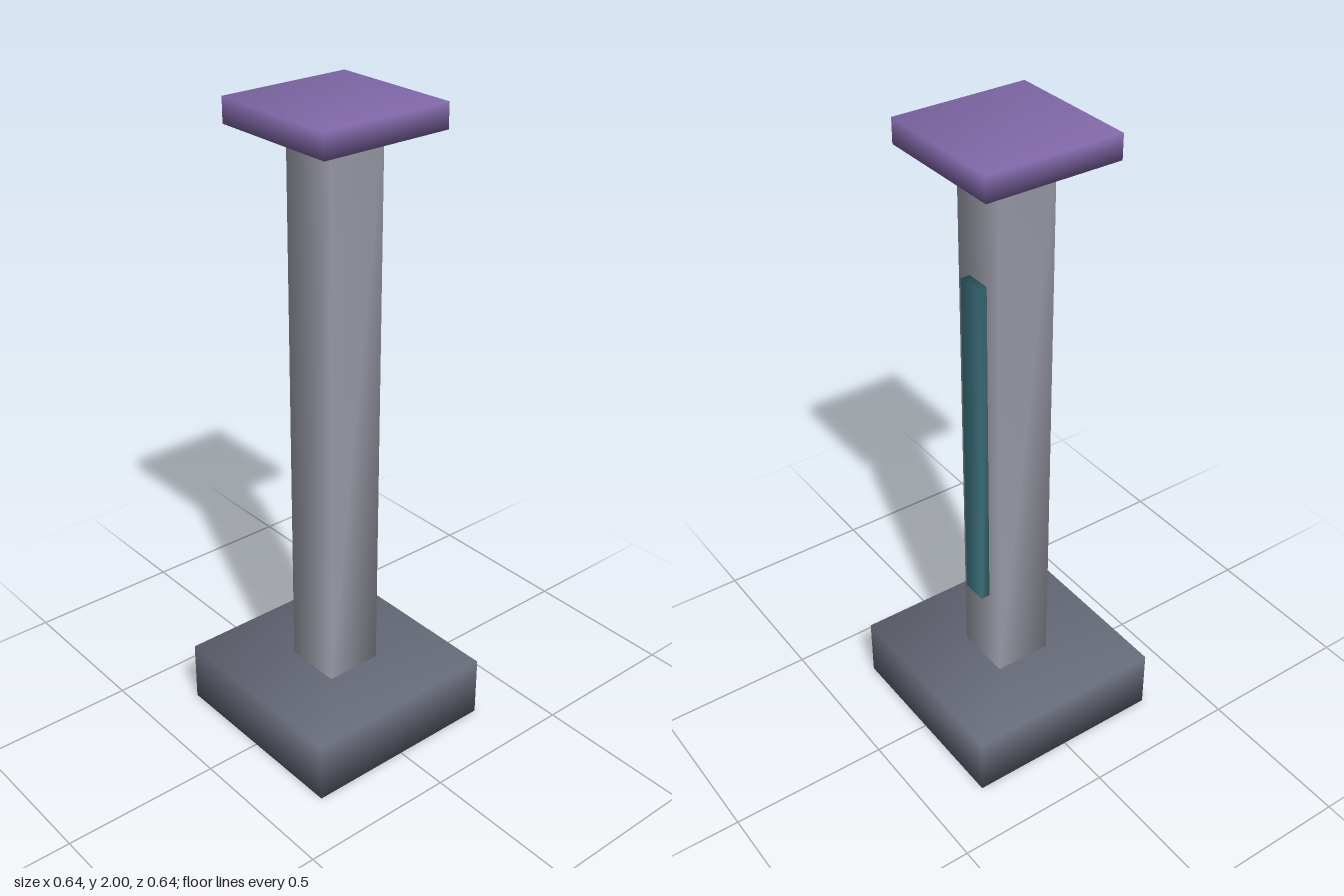
import * as THREE from 'three';
import { mergeVertices } from 'three/addons/utils/BufferGeometryUtils.js';

// Box with corner vertices shared between faces, so its shading runs smoothly round the edges
function softBox(name, [w, h, d], [x, y, z], color) {
  const box = new THREE.BoxGeometry(w, h, d);
  box.deleteAttribute('uv');
  box.deleteAttribute('normal');
  const geometry = mergeVertices(box);
  geometry.computeVertexNormals();
  const mesh = new THREE.Mesh(geometry, new THREE.MeshStandardMaterial({ color }));
  mesh.position.set(x, y, z);
  mesh.name = name;
  return mesh;
}

export function createModel() {
  const model = new THREE.Group();
  model.name = 'pedestalPost';
  model.add(
    // Heavy square foot
    softBox('base', [0.644, 0.197, 0.644], [0, 0.0985, 0], 0x666a78),
    // Square column from foot to cap
    softBox('column', [0.186, 1.728, 0.186], [0, 1.061, 0], 0x9c9ca9),
    // Square plate on top
    softBox('cap', [0.426, 0.075, 0.426], [0, 1.9625, 0], 0x8068a8),
    // Thin strip on the left face of the column
    softBox('sideStrip', [0.034, 1.1, 0.08], [0.106, 1.025, 0], 0x3f7682),
  );
  return model;
}
